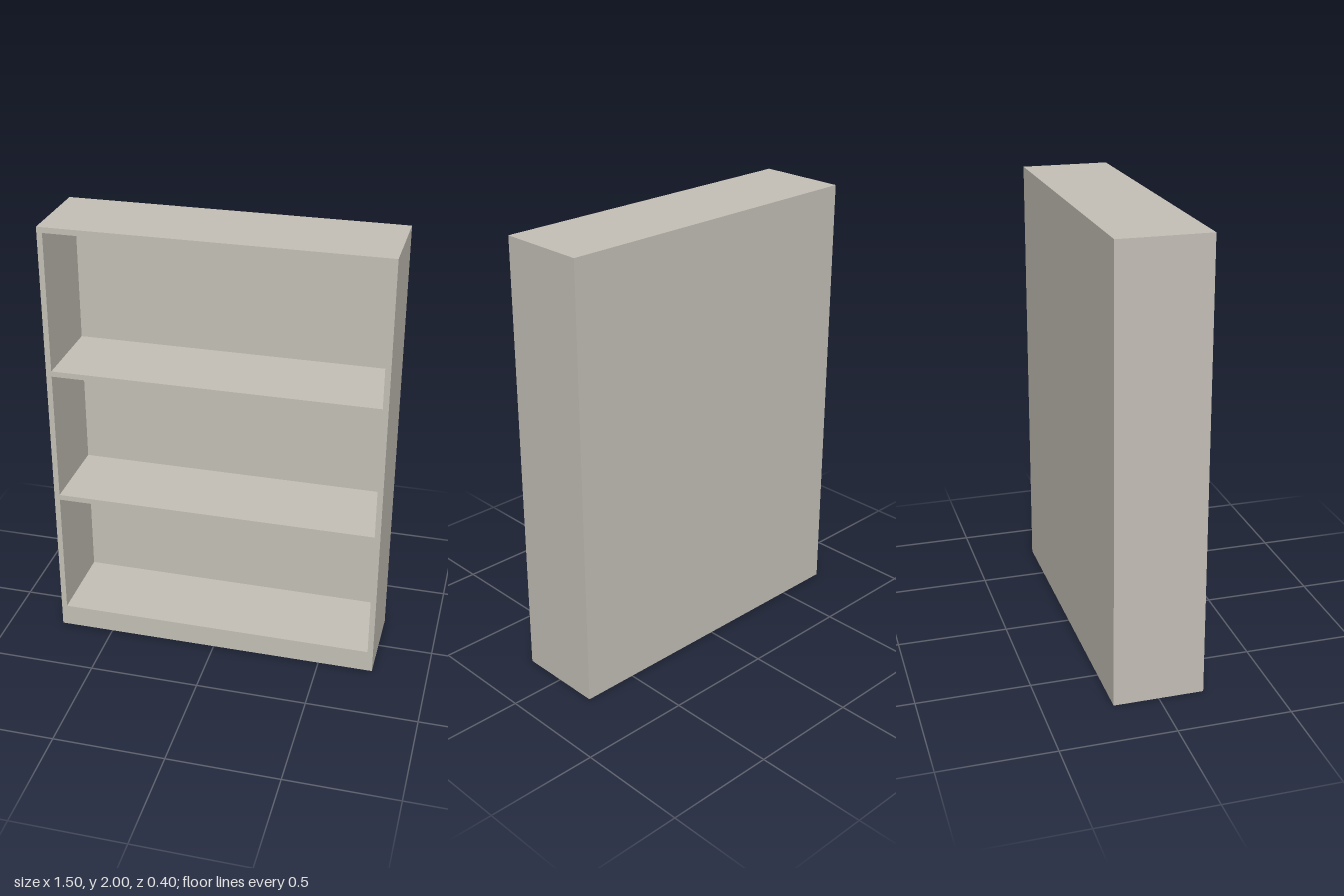
import * as THREE from 'three';

export function createModel() {
  const model = new THREE.Group();
  model.name = 'bookcase';
  const paint = new THREE.MeshStandardMaterial({ color: 0xc4c0b7 });
  paint.name = 'warm grey paint';

  const W = 1.5, H = 2, D = 0.4; // overall size
  const T = 0.025;               // board thickness
  const B = 0.01;                // back panel thickness
  const innerW = W - 2 * T, innerD = D - B;

  // Board spanning width, bottom to top, and back to front
  function board(name, w, y0, y1, z0, z1, x = 0) {
    const mesh = new THREE.Mesh(new THREE.BoxGeometry(w, y1 - y0, z1 - z0), paint);
    mesh.position.set(x, (y0 + y1) / 2, (z0 + z1) / 2);
    mesh.name = name;
    model.add(mesh);
  }

  // Side panels
  for (const [name, s] of [['leftSide', 1], ['rightSide', -1]]) {
    board(name, T, 0, H, -D / 2, D / 2, s * (W - T) / 2);
  }

  // Back panel, closed down to the floor
  board('backPanel', innerW, 0, H, -D / 2, -D / 2 + B);

  // Horizontal boards, by the height of their upper face
  const tops = { bottomShelf: 0.103, lowerShelf: 0.719, upperShelf: 1.343, topBoard: H };
  for (const [name, y] of Object.entries(tops)) {
    board(name, innerW, y - T, y, D / 2 - innerD, D / 2);
  }

  // Kick plate under the bottom shelf, hollow behind
  board('kickPlate', innerW, 0, tops.bottomShelf - T, D / 2 - T, D / 2);

  return model;
}
